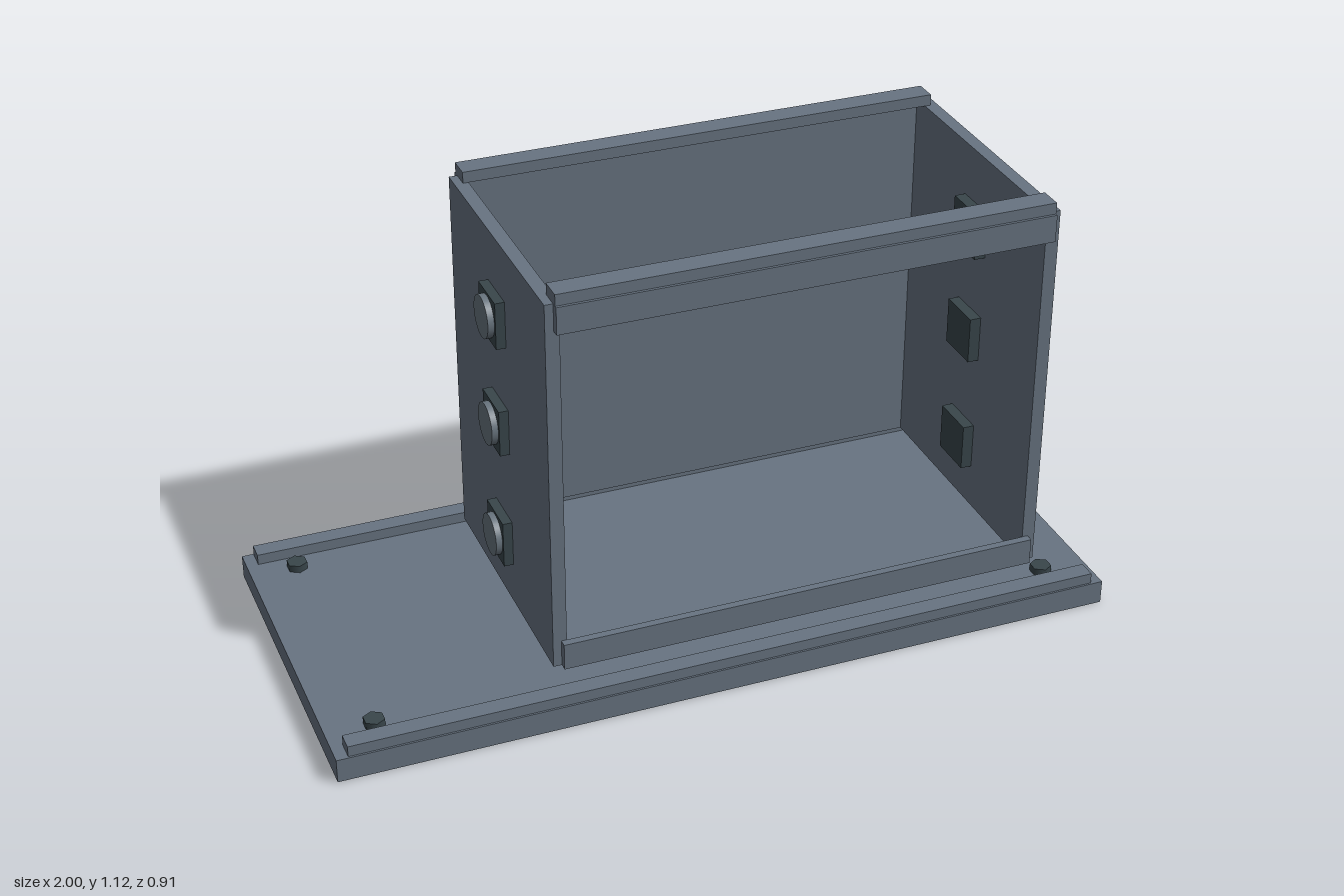
import * as THREE from 'three';

export function createModel() {
  const model = new THREE.Group();
  const mat = (name, color) => {
    const m = new THREE.MeshStandardMaterial({ color });
    m.name = name;
    return m;
  };
  const slate = mat('slateGrey', 0x687482);
  const dark = mat('darkGrey', 0x39464b);
  const disc = mat('lensGrey', 0x69757f);

  const add = (name, geometry, material, x, y, z) => {
    const mesh = new THREE.Mesh(geometry, material);
    mesh.name = name;
    mesh.position.set(x, y, z);
    model.add(mesh);
    return mesh;
  };
  // Box given by its minimum and maximum on each axis
  const box = (name, material, [x0, x1], [y0, y1], [z0, z1]) =>
    add(name, new THREE.BoxGeometry(x1 - x0, y1 - y0, z1 - z0), material,
      (x0 + x1) / 2, (y0 + y1) / 2, (z0 + z1) / 2);

  // Base plate with a raised rail along the front and back edges
  box('basePlate', slate, [-1, 1], [0, 0.062], [-0.454, 0.454]);
  box('frontBaseRail', slate, [-0.97, 0.97], [0.062, 0.09], [0.402, 0.449]);
  box('backBaseRail', slate, [-0.97, 0.97], [0.062, 0.09], [-0.449, -0.402]);

  // Hexagonal bolts at the corners of the base
  for (const x of [-0.88, 0.877])
    for (const z of [-0.353, 0.353])
      add('baseBolt', new THREE.CylinderGeometry(0.027, 0.027, 0.02, 6), dark, x, 0.071, z);

  // Open frame: two side walls, a back wall, front strips and top strips
  const wallY = [0.107, 1.087], stripX = [-0.412, 0.834];
  box('rightWall', slate, [-0.433, -0.398], wallY, [-0.35, 0.35]);
  box('leftWall', slate, [0.819, 0.853], wallY, [-0.35, 0.35]);
  box('backWall', slate, stripX, wallY, [-0.37, -0.35]);
  box('lowerFrontStrip', slate, stripX, [0.107, 0.177], [0.35, 0.37]);
  box('upperFrontStrip', slate, stripX, [1.017, 1.087], [0.35, 0.37]);
  box('frontTopStrip', slate, stripX, [1.087, 1.116], [0.303, 0.363]);
  box('backTopStrip', slate, stripX, [1.087, 1.116], [-0.363, -0.303]);

  // Square blocks through the side walls, each with a round cap outside
  for (const y of [0.281, 0.597, 0.889]) {
    for (const [side, inner, outer, tip] of [
      [-1, -0.376, -0.457, -0.473],
      [1, 0.79, 0.874, 0.89],
    ]) {
      box('sideBlock', dark, [Math.min(inner, outer), Math.max(inner, outer)],
        [y - 0.061, y + 0.061], [-0.061, 0.061]);
      const cap = add('sideCap', new THREE.CylinderGeometry(0.054, 0.054, 0.016, 32),
        disc, (outer + tip) / 2, y, 0);
      cap.rotation.z = -side * Math.PI / 2;
    }
  }
  return model;
}
